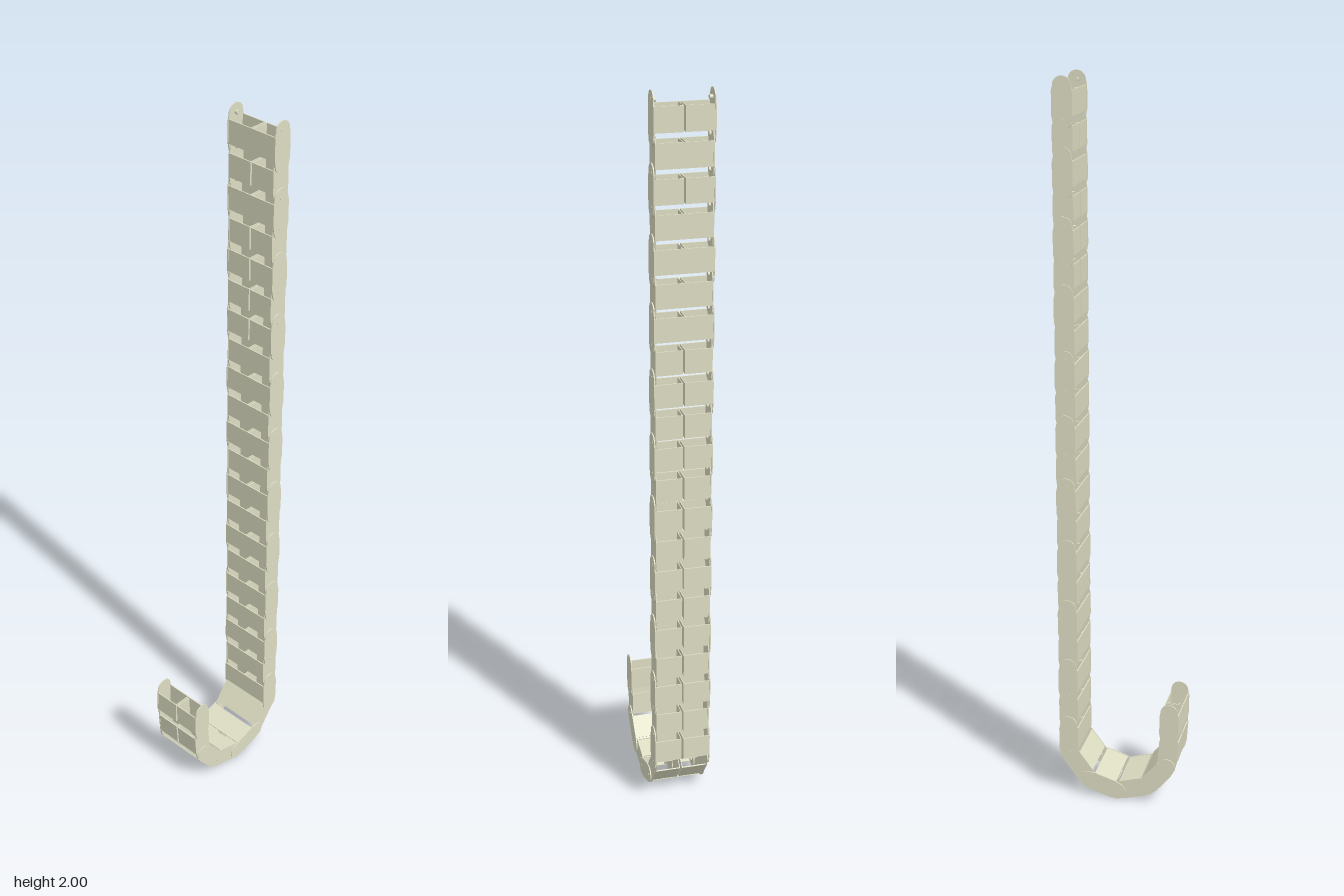
import * as THREE from 'three';

const material = new THREE.MeshStandardMaterial({ color: 0xdedec4 });
const T = 0.003;        // wall thickness
const HALF = 0.026;     // half depth of a link

// Pin positions as [y, z]: straight back run, then the bend and the short front run
function pinPath() {
  const pins = [];
  for (let i = 0; i <= 21; i++) pins.push([1.976 - i * 0.0878, -0.143]);
  pins.push([0.056, -0.087], [0.029, -0.004], [0.052, 0.08], [0.12, 0.137], [0.206, 0.143], [0.287, 0.143]);
  return pins;
}

function add(group, name, geometry, x, y, z) {
  const mesh = new THREE.Mesh(geometry, material);
  mesh.name = name;
  mesh.position.set(x, y, z);
  group.add(mesh);
  return mesh;
}

// Side plate: broad body with a narrower rounded ear round each pin
function sidePlateGeometry(length) {
  const h = length / 2, r = 0.024, body = h - 0.014;
  const s = new THREE.Shape();
  s.moveTo(HALF + 0.001, -body);
  s.lineTo(HALF + 0.001, body);
  s.lineTo(r, h);
  s.absarc(0, h, r, 0, Math.PI, false);
  s.lineTo(-HALF - 0.001, body);
  s.lineTo(-HALF - 0.001, -body);
  s.lineTo(-r, -h);
  s.absarc(0, -h, r, Math.PI, Math.PI * 2, false);
  s.closePath();
  const g = new THREE.ExtrudeGeometry(s, { depth: T, bevelEnabled: false, curveSegments: 10 });
  g.translate(0, 0, -T / 2);
  g.rotateY(Math.PI / 2);
  return g;
}

// One link: local y runs along the chain, local +z faces the inside of the bend
function makeLink(length, outer, splitInside) {
  const link = new THREE.Group();
  const wall = outer ? 0.0765 : 0.073;
  const plateLength = 0.064;
  const inner = wall - T / 2;
  const sidePlate = sidePlateGeometry(length);
  const pin = new THREE.CylinderGeometry(0.006, 0.006, 0.012, 12).rotateZ(Math.PI / 2);
  const splitSide = splitInside ? 1 : -1;
  const gap = 0.0025;

  // solid crossbar
  add(link, 'crossbar', new THREE.BoxGeometry(inner * 2, plateLength, T), 0, 0, -splitSide * (HALF - T / 2));

  for (const side of [-1, 1]) {
    add(link, 'sidePlate', sidePlate, side * wall, 0, 0);
    add(link, 'pin', pin, side * 0.0725, length / 2, 0);
    // half crossbar with a thin lip beside the centre slit
    const width = inner - gap;
    add(link, 'halfCrossbar', new THREE.BoxGeometry(width, plateLength, T),
      side * (gap + width / 2), 0, splitSide * (HALF - T / 2));
    add(link, 'centreLip', new THREE.BoxGeometry(0.002, plateLength, HALF * 2 - 2 * T),
      side * (gap + 0.001), 0, 0);
  }
  return link;
}

export function createModel() {
  const model = new THREE.Group();
  model.name = 'cableChain';
  const pins = pinPath();
  const turnedLinks = [1, 3, 4, 5, 6];   // links whose slit faces the inside

  for (let i = 0; i < pins.length - 1; i++) {
    const [y0, z0] = pins[i], [y1, z1] = pins[i + 1];
    const link = makeLink(Math.hypot(y0 - y1, z0 - z1), i % 2 === 0, turnedLinks.includes(i));
    link.name = 'link';
    link.position.set(0, (y0 + y1) / 2, (z0 + z1) / 2);
    link.rotation.x = Math.atan2(z0 - z1, y0 - y1);
    model.add(link);
  }
  return model;
}
